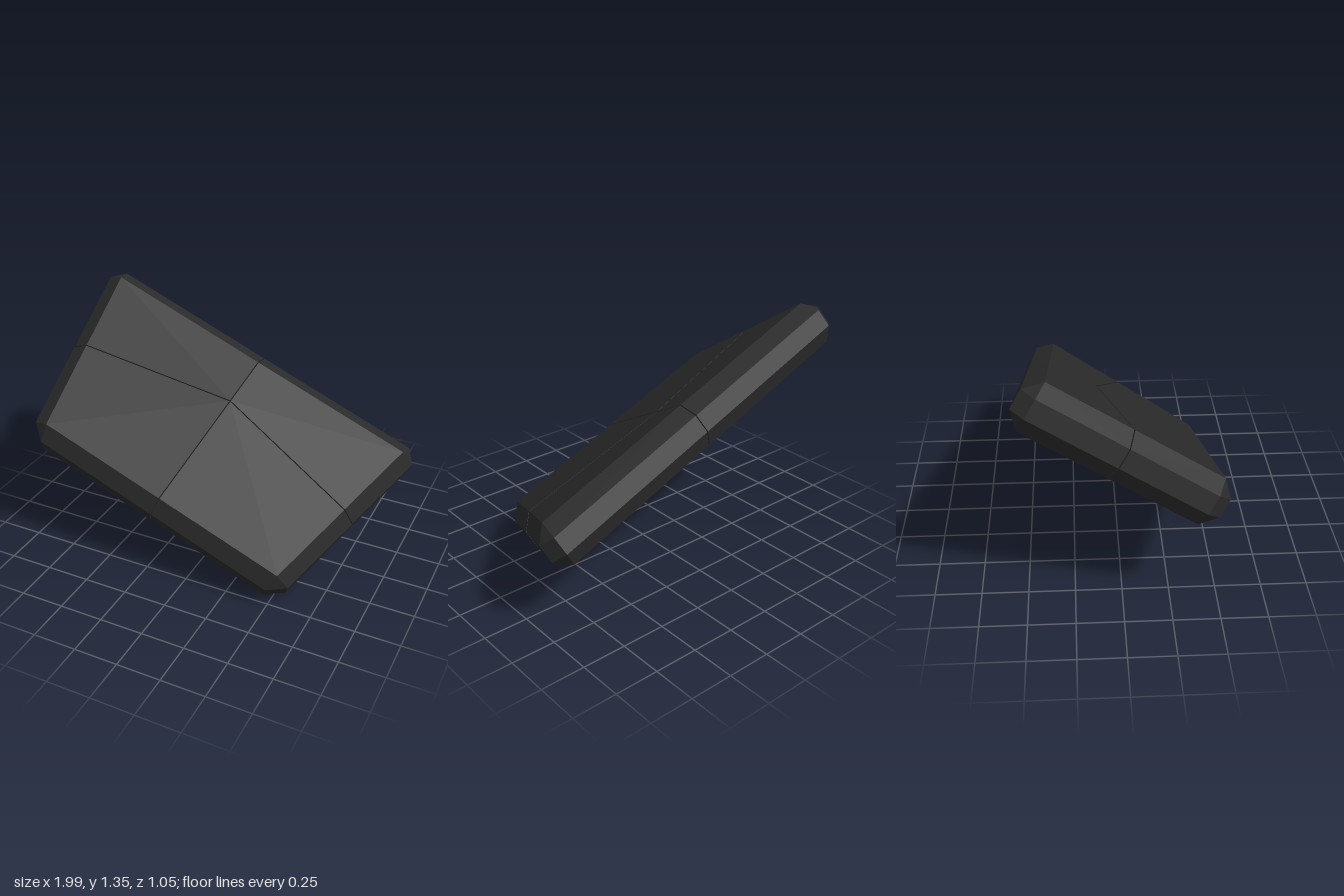
import * as THREE from 'three';

const BEVEL = 0.08;        // chamfer width on all outer edges
const HALF_T = 0.133;      // half of the slab thickness
const HALF_H = 0.583;      // half of the trapezoid height
const HALF_TOP = 1.072;    // half width of the long edge
const HALF_LOW = 0.827;    // half width of the short edge
const GAP = 0.003;         // half of the seam between panels

// Flat-shaded geometry from convex polygons; flip reverses the corner order
function fromPolygons(polygons, flip) {
  const positions = [];
  for (const poly of polygons) {
    for (let i = 1; i < poly.length - 1; i++) {
      const tri = [poly[0], poly[i], poly[i + 1]];
      if (tri[1].equals(tri[2]) || tri[0].equals(tri[1]) || tri[0].equals(tri[2])) continue;
      if (flip) tri.reverse();
      tri.forEach((p) => positions.push(p.x, p.y, p.z));
    }
  }
  const geometry = new THREE.BufferGeometry();
  geometry.setAttribute('position', new THREE.Float32BufferAttribute(positions, 3));
  geometry.computeVertexNormals();
  return geometry;
}

// One quarter of the slab: sx picks right/left, sv picks long/short side
function panelGeometry(sx, sv) {
  const v2 = (x, y) => new THREE.Vector2(x, y);
  const along = v2(HALF_TOP - HALF_LOW, 2 * HALF_H).normalize();   // slanted side
  const sideOut = v2(along.y, -along.x);
  const corner = v2(sv > 0 ? HALF_TOP : HALF_LOW, sv * HALF_H);

  // Corner of the flat face, inset from both outer edges
  const inset = BEVEL * (1 + sv * along.x) / along.y;
  const faceCorner = v2(corner.x - inset, sv * (HALF_H - BEVEL));

  // Seam points: centre, middle of the slanted side, middle of the long/short edge
  const centre = v2(GAP, 0.204 + sv * GAP);
  const sideMid = v2(0.872, 0.021 + sv * GAP);
  const edgeMid = v2(GAP, faceCorner.y);

  const inner = [sideMid, faceCorner, faceCorner, edgeMid];
  const outer = [
    sideMid.clone().addScaledVector(sideOut, BEVEL),
    corner.clone().addScaledVector(along, -sv * BEVEL),
    v2(corner.x - BEVEL, corner.y),
    v2(GAP, corner.y),
  ];
  const at = (p, z) => new THREE.Vector3(sx * p.x, p.y, z);
  const ring = (points, z) => points.map((p) => at(p, z));
  const levels = [
    ring(inner, HALF_T), ring(outer, HALF_T - BEVEL),
    ring(outer, BEVEL - HALF_T), ring(inner, -HALF_T),
  ];
  const kTop = at(centre, HALF_T);
  const kLow = at(centre, -HALF_T);

  // Flat faces and the two seam walls
  const polygons = [
    [kTop, levels[0][0], levels[0][1], levels[0][3]],
    [kLow, levels[3][3], levels[3][1], levels[3][0]],
    [kLow, levels[3][0], levels[2][0], levels[1][0], levels[0][0], kTop],
    [kLow, kTop, levels[0][3], levels[1][3], levels[2][3], levels[3][3]],
  ];
  // Chamfer, side and chamfer strips around the outer edge
  for (let r = 0; r < 3; r++) {
    for (let i = 0; i < 3; i++) {
      polygons.push([levels[r + 1][i], levels[r + 1][i + 1], levels[r][i + 1], levels[r][i]]);
    }
  }
  return fromPolygons(polygons, sx * sv < 0);
}

export function createModel() {
  const model = new THREE.Group();
  model.name = 'splitSlab';
  const material = new THREE.MeshStandardMaterial({ color: 0x2b2b2b, flatShading: true });

  // Tilted slab made of four panels
  const slab = new THREE.Group();
  slab.name = 'tiltedSlab';
  for (const sx of [1, -1]) {
    for (const sv of [1, -1]) {
      const panel = new THREE.Mesh(panelGeometry(sx, sv), material);
      panel.name = (sv > 0 ? 'back' : 'front') + (sx > 0 ? 'Left' : 'Right') + 'Panel';
      slab.add(panel);
    }
  }

  // Slab axes: along the long edge, up the slope, and out of the face
  const across = new THREE.Vector3(0.925, -0.38, 0).normalize();
  const normal = new THREE.Vector3(0.38, 0.925, 0.607).normalize();
  const upSlope = new THREE.Vector3().crossVectors(normal, across);
  slab.quaternion.setFromRotationMatrix(new THREE.Matrix4().makeBasis(across, upSlope, normal));
  slab.position.set(-0.102, 0.626, 0.001);
  model.add(slab);

  // Stand on the ground, centred
  model.updateMatrixWorld(true);
  const box = new THREE.Box3().setFromObject(model, true);
  const mid = box.getCenter(new THREE.Vector3());
  slab.position.sub(new THREE.Vector3(mid.x, box.min.y, mid.z));
  return model;
}
